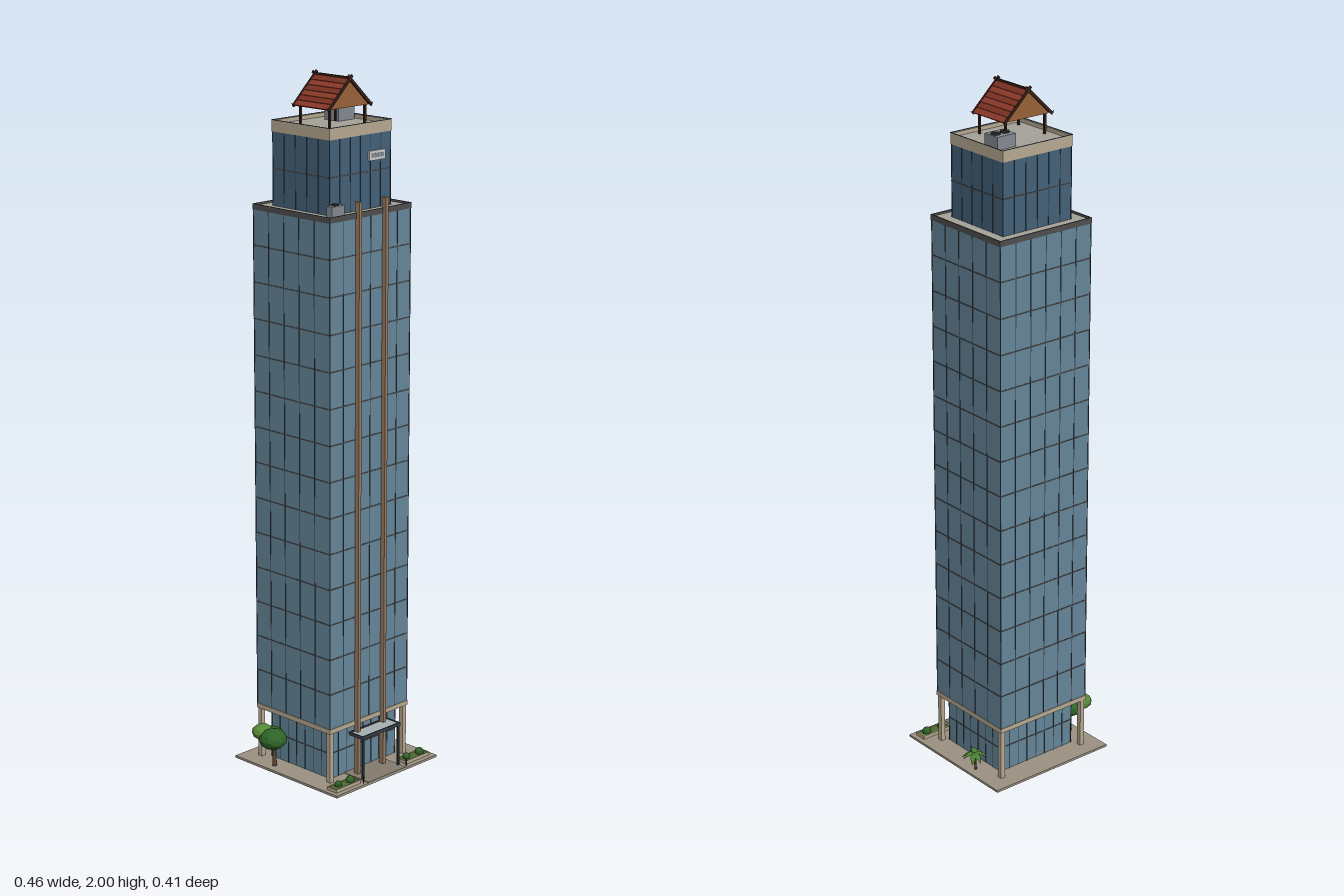
import * as THREE from 'three';

const mat = (color, opts = {}) => new THREE.MeshStandardMaterial({ color, ...opts });
const M = {
  glass: mat(0x66879a), darkGlass: mat(0x44627a), frame: mat(0x33424c), floorLine: mat(0x4f4f50),
  cream: mat(0xb8aa92), concrete: mat(0xa6a299), paving: mat(0x9c9283), path: mat(0x857b6e),
  wood: mat(0x9a7c62), darkWood: mat(0x3a2018), gable: mat(0x9a6238, { side: THREE.DoubleSide }),
  tile: mat(0x8c3a28), tileDark: mat(0x7c3122), metal: mat(0x858b92), black: mat(0x2b2e31),
  canopy: mat(0xa9b0b2), sign: mat(0xc8c8c4), soil: mat(0x4b6b2e),
  leaf: mat(0x2f6428, { flatShading: true }), leafLight: mat(0x568a37, { flatShading: true }),
  palm: mat(0x4b8034, { side: THREE.DoubleSide }), bark: mat(0x5b4632)
};

export function createModel() {
  const root = new THREE.Group();

  const add = (parent, name, geo, m, x = 0, y = 0, z = 0) => {
    const mesh = new THREE.Mesh(geo, m);
    mesh.name = name;
    mesh.position.set(x, y, z);
    parent.add(mesh);
    return mesh;
  };
  // Box given by its limits on each axis
  const box = (parent, name, m, x0, x1, y0, y1, z0, z1) =>
    add(parent, name, new THREE.BoxGeometry(x1 - x0, y1 - y0, z1 - z0), m, (x0 + x1) / 2, (y0 + y1) / 2, (z0 + z1) / 2);
  const group = (name) => {
    const g = new THREE.Group();
    g.name = name;
    root.add(g);
    return g;
  };
  // Four walls around a rectangle
  const rim = (parent, name, m, x0, x1, y0, y1, z0, z1, t) => {
    box(parent, name, m, x0, x1, y0, y1, z0, z0 + t);
    box(parent, name, m, x0, x1, y0, y1, z1 - t, z1);
    box(parent, name, m, x0, x0 + t, y0, y1, z0 + t, z1 - t);
    box(parent, name, m, x1 - t, x1, y0, y1, z0 + t, z1 - t);
  };
  // Glazed block with mullions on all four sides and floor lines around it
  const glazedBlock = (name, m, x0, x1, y0, y1, z0, z1, nx, nz, floors) => {
    const g = group(name), w = 0.0011, d = 0.0012;
    box(g, name + 'Glass', m, x0, x1, y0, y1, z0, z1);
    for (let i = 0; i <= nx; i++) {
      const x = x0 + (x1 - x0) * i / nx;
      box(g, 'mullion', M.frame, x - w, x + w, y0, y1, z1 - d, z1 + d);
      box(g, 'mullion', M.frame, x - w, x + w, y0, y1, z0 - d, z0 + d);
    }
    for (let i = 1; i < nz; i++) {
      const z = z0 + (z1 - z0) * i / nz;
      box(g, 'mullion', M.frame, x1 - d, x1 + d, y0, y1, z - w, z + w);
      box(g, 'mullion', M.frame, x0 - d, x0 + d, y0, y1, z - w, z + w);
    }
    for (let i = 1; i < floors; i++) {
      const y = y0 + (y1 - y0) * i / floors;
      box(g, 'floorLine', M.floorLine, x0 - d, x1 + d, y - 0.0016, y + 0.0016, z0 - d, z1 + d);
    }
    return g;
  };

  // Ground
  const site = group('site');
  box(site, 'groundSlab', M.paving, -0.201, 0.212, 0, 0.007, -0.208, 0.205);
  box(site, 'entrancePath', M.path, -0.072, 0.083, 0.007, 0.009, 0.1, 0.205);

  // Recessed lobby, corner columns and the band above
  glazedBlock('lobby', M.glass, -0.128, 0.138, 0.007, 0.158, -0.13, 0.107, 8, 7, 2);
  const base = group('towerBase');
  for (const x of [-0.144, 0.155]) for (const z of [-0.156, 0.122])
    box(base, 'cornerColumn', M.cream, x - 0.007, x + 0.007, 0.007, 0.158, z - 0.007, z + 0.007);
  box(base, 'baseBand', M.cream, -0.154, 0.165, 0.156, 0.17, -0.166, 0.132);

  // Main shaft and its flat roof
  const shaft = glazedBlock('shaft', M.glass, -0.152, 0.163, 0.17, 1.62, -0.164, 0.13, 6, 5, 14);
  box(shaft, 'shaftRoof', M.concrete, -0.15, 0.161, 1.62, 1.626, -0.162, 0.128);
  rim(shaft, 'shaftCoping', M.floorLine, -0.154, 0.165, 1.616, 1.632, -0.166, 0.132, 0.004);

  // Tall timber fins on the front
  for (const x of [-0.048, 0.056]) box(shaft, 'frontFin', M.wood, x - 0.005, x + 0.005, 0.007, 1.662, 0.128, 0.144);

  // Upper block with pale parapet
  const crown = glazedBlock('crown', M.darkGlass, -0.113, 0.123, 1.626, 1.83, -0.126, 0.091, 6, 5, 2);
  box(crown, 'crownRoof', M.concrete, -0.113, 0.123, 1.83, 1.85, -0.126, 0.091);
  rim(crown, 'parapet', M.cream, -0.115, 0.125, 1.83, 1.861, -0.128, 0.093, 0.005);
  rim(crown, 'parapetEdge', M.frame, -0.1155, 0.1255, 1.861, 1.863, -0.1285, 0.0935, 0.0015);

  // Blank sign panel
  box(crown, 'signPanel', M.sign, 0.035, 0.098, 1.757, 1.784, 0.091, 0.096);
  box(crown, 'signInset', M.metal, 0.042, 0.091, 1.765, 1.776, 0.096, 0.097);

  // Cooling units with round fans
  const cooler = (x0, x1, y0, y1, z0, z1, fans, r) => {
    const g = group('coolingUnit');
    box(g, 'coolerBody', M.metal, x0, x1, y0, y1, z0, z1);
    for (const fx of fans) {
      add(g, 'fan', new THREE.CylinderGeometry(r, r, 0.004, 16), M.black, fx, y1 + 0.002, (z0 + z1) / 2);
      add(g, 'fanHub', new THREE.CylinderGeometry(r * 0.3, r * 0.3, 0.002, 8), M.frame, fx, y1 + 0.005, (z0 + z1) / 2);
    }
  };
  cooler(0.046, 0.108, 1.85, 1.886, -0.086, -0.032, [0.062, 0.093], 0.013);
  cooler(-0.128, -0.08, 1.626, 1.655, 0.093, 0.115, [-0.104], 0.01);

  // Roof pavilion: posts, beams, tiled gable roof with crossed end boards
  const pav = group('roofPavilion');
  const ridgeX = -0.022, ridgeY = 1.982, eaveY = 1.907, half = 0.079, zb = -0.055, zf = 0.078;
  for (const x of [-0.089, 0.046]) {
    for (const z of [-0.043, 0.067]) box(pav, 'pavilionPost', M.darkWood, x - 0.003, x + 0.003, 1.85, 1.915, z - 0.003, z + 0.003);
    box(pav, 'pavilionBeam', M.darkWood, x - 0.002, x + 0.002, 1.911, 1.919, -0.046, 0.07);
  }
  for (const z of [-0.043, 0.067]) box(pav, 'tieBeam', M.darkWood, -0.094, 0.051, 1.908, 1.913, z - 0.002, z + 0.002);
  const tri = new THREE.Shape([[-half + 0.003, eaveY], [half - 0.003, eaveY], [0, ridgeY - 0.002]].map(p => new THREE.Vector2(...p)));
  const gableGeo = new THREE.ExtrudeGeometry(tri, { depth: 0.003, bevelEnabled: false });
  for (const z of [zb + 0.005, zf - 0.008]) add(pav, 'gable', gableGeo, M.gable, ridgeX, 0, z);
  const slope = Math.atan2(ridgeY - eaveY, half), len = Math.hypot(half, ridgeY - eaveY), courses = 6;
  for (const s of [-1, 1]) {
    // Each slope is built along its own x axis, from the ridge to the eave
    const side = new THREE.Group();
    side.name = 'roofSlope';
    side.position.set(ridgeX, ridgeY, 0);
    side.rotation.z = -s * slope;
    pav.add(side);
    for (let i = 0; i < courses; i++) {
      const c = box(side, 'tileCourse', i % 2 ? M.tile : M.tileDark, -len / courses * 0.58, len / courses * 0.58, 0, 0.004, zb, zf);
      c.position.x = s * len * (i + 0.5) / courses;
      c.rotation.z = -s * -0.1;
    }
    for (const z of [zb, zf]) {
      const b = box(side, 'endBoard', M.darkWood, -0.013, len + 0.004, -0.002, 0.006, z - 0.002, z + 0.002);
      b.position.x = s * (len - 0.009) / 2;
      const curl = add(pav, 'eaveCurl', new THREE.ConeGeometry(0.003, 0.015, 6), M.darkWood, ridgeX + s * (half + 0.006), eaveY + 0.003, z);
      curl.rotation.z = -s * 0.9;
    }
  }
  box(pav, 'ridgeCap', M.darkWood, ridgeX - 0.003, ridgeX + 0.003, ridgeY + 0.001, ridgeY + 0.007, zb, zf);

  // Entrance canopy
  const canopy = group('entranceCanopy');
  box(canopy, 'canopyPanel', M.canopy, -0.068, 0.079, 0.133, 0.137, 0.12, 0.176);
  rim(canopy, 'canopyFrame', M.frame, -0.072, 0.083, 0.13, 0.139, 0.126, 0.181, 0.005);
  for (const x of [-0.067, 0.078]) box(canopy, 'canopyPost', M.black, x - 0.003, x + 0.003, 0.007, 0.132, 0.174, 0.18);

  // Planters with bushes, and path lights
  const garden = group('garden');
  for (const [x0, bushes] of [[-0.188, [-0.16, -0.114]], [0.099, [0.121, 0.173]]]) {
    rim(garden, 'planterEdge', M.cream, x0, x0 + 0.098, 0.007, 0.017, 0.154, 0.19, 0.003);
    box(garden, 'planterBed', M.soil, x0 + 0.003, x0 + 0.095, 0.007, 0.015, 0.157, 0.187);
    bushes.forEach((x, i) => add(garden, 'bush', new THREE.IcosahedronGeometry(0.011 + i * 0.002, 1), M.leaf, x, 0.02, 0.17 + i * 0.002));
  }
  for (const x of [-0.083, 0.094]) add(garden, 'pathLight', new THREE.CylinderGeometry(0.0018, 0.0018, 0.02, 8), M.black, x, 0.017, 0.195);

  // Broad tree
  const tree = group('tree');
  add(tree, 'treeTrunk', new THREE.CylinderGeometry(0.004, 0.007, 0.08, 7), M.bark, -0.172, 0.047, -0.075);
  for (const [x, y, z, r, m] of [[-0.19, 0.098, -0.062, 0.041, M.leaf], [-0.165, 0.095, -0.09, 0.034, M.leaf], [-0.193, 0.11, -0.102, 0.031, M.leafLight]])
    add(tree, 'foliage', new THREE.IcosahedronGeometry(r, 1), m, x, y, z).scale.y = 0.75;

  // Palm with drooping, tapered fronds
  const palm = group('palm');
  const trunk = new THREE.CatmullRomCurve3([[0.185, 0.005, -0.075], [0.188, 0.035, -0.077], [0.193, 0.065, -0.08]].map(p => new THREE.Vector3(...p)));
  add(palm, 'palmTrunk', new THREE.TubeGeometry(trunk, 8, 0.0035, 6), M.bark);
  const frond = new THREE.PlaneGeometry(1, 1, 6, 2);
  const p = frond.attributes.position;
  for (let i = 0; i < p.count; i++) {
    const t = p.getX(i) + 0.5, v = p.getY(i);
    const w = 0.016 * Math.sin(Math.PI * (0.08 + 0.92 * t));
    p.setXYZ(i, t * 0.036, 0.022 * t - 0.042 * t * t - Math.abs(v) * w * 0.5, v * w);
  }
  frond.computeVertexNormals();
  for (let i = 0; i < 9; i++) {
    const f = add(palm, 'frond', frond, M.palm, 0.193, 0.066, -0.08);
    f.rotation.set(0, i * Math.PI * 2 / 9, [0.35, -0.1, 0.1][i % 3], 'YXZ');
  }
  return root;
}
